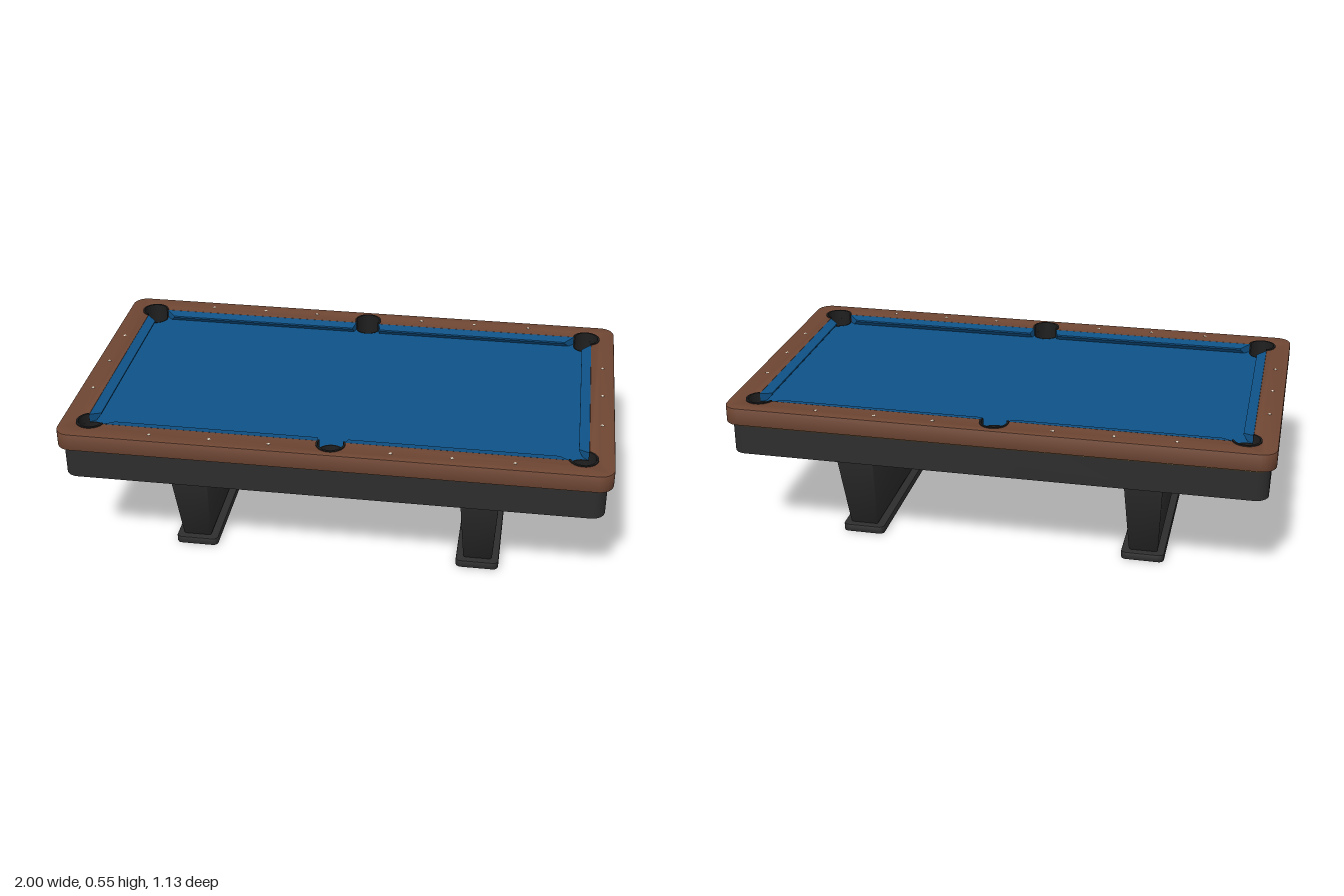
import * as THREE from 'three';
import { RoundedBoxGeometry } from 'three/addons/geometries/RoundedBoxGeometry.js';
import { toCreasedNormals } from 'three/addons/utils/BufferGeometryUtils.js';

const mat = (name, color) => new THREE.MeshStandardMaterial({ name, color });

// Main dimensions
const INX = 0.91, INZ = 0.47;          // inner edge of the rail
const CORNER = [0.89, 0.457], SIDE = [0, 0.49];
const R = 0.05, RIN = 0.046;           // pocket radii
const BED = 0.517;

function roundedRect(hx, hz, r) {
  const s = new THREE.Shape(), q = Math.PI / 2;
  s.absarc(hx - r, hz - r, r, 0, q);
  s.absarc(-hx + r, hz - r, r, q, 2 * q);
  s.absarc(-hx + r, -hz + r, r, 2 * q, 3 * q);
  s.absarc(hx - r, -hz + r, r, 3 * q, 4 * q);
  s.closePath();
  return s;
}

// Extrudes a plan shape upwards from y0 to y1
function slab(shape, y0, y1, bevel = 0) {
  const g = new THREE.ExtrudeGeometry(shape, {
    depth: y1 - y0 - 2 * bevel, curveSegments: 20, bevelEnabled: bevel > 0,
    bevelSize: bevel, bevelThickness: bevel, bevelOffset: -bevel, bevelSegments: 2,
  });
  g.rotateX(-Math.PI / 2).translate(0, y0 + bevel, 0);
  return toCreasedNormals(g, 0.6);
}

// Pocket centres with the arc each one cuts out of the rail, for one half;
// the other half is the same turned by 180 degrees
function pocketArcs() {
  const [cx, cz] = CORNER;
  const dz = Math.sqrt(R * R - (INX - cx) ** 2), dx = Math.sqrt(R * R - (INZ - cz) ** 2);
  const sx = Math.sqrt(R * R - (SIDE[1] - INZ) ** 2), sz = INZ - SIDE[1];
  const half = [
    { x: cx, z: cz, a: Math.atan2(-dz, INX - cx), b: Math.atan2(INZ - cz, -dx) },
    { x: 0, z: SIDE[1], a: Math.atan2(sz, sx), b: Math.atan2(sz, -sx) + 2 * Math.PI },
    { x: -cx, z: cz, a: Math.atan2(INZ - cz, dx), b: Math.atan2(-dz, cx - INX) + 2 * Math.PI },
  ];
  return [...half, ...half.map(p => ({ x: -p.x, z: -p.z, a: p.a + Math.PI, b: p.b + Math.PI }))];
}

function circlePath(x, z, r) {
  const p = new THREE.Path();
  p.absarc(x, z, r, 0, 2 * Math.PI, true);
  return p;
}

// Cushion with an undercut nose and slanted ends
function cushionGeometry(length, cut0, cut1) {
  const depth = 0.036;
  const s = new THREE.Shape([[0, BED - 0.005], [0.016, BED - 0.005], [depth, 0.535], [depth, 0.541], [0, 0.549]]
    .map(p => new THREE.Vector2(...p)));
  const g = new THREE.ExtrudeGeometry(s, { depth: length, bevelEnabled: false });
  const p = g.attributes.position;
  for (let i = 0; i < p.count; i++) {
    const k = p.getX(i) / depth, z = p.getZ(i);
    p.setZ(i, z < length / 2 ? z + cut0 * k : z - cut1 * k);
  }
  g.translate(0, 0, -length / 2);
  g.computeVertexNormals();
  return g;
}

export function createModel() {
  const wood = mat('brown wood', 0x6f4633), black = mat('black body', 0x2d2d2d);
  const cloth = mat('blue cloth', 0x0f5287), gold = mat('gold trim', 0xc8a564);
  const rubber = mat('pocket black', 0x1f1f1f), pearl = mat('pearl sight', 0xe8dfcc);
  const model = new THREE.Group();
  const add = (name, geo, m, x = 0, y = 0, z = 0, parent = model) => {
    const mesh = new THREE.Mesh(geo, m);
    mesh.name = name;
    mesh.position.set(x, y, z);
    parent.add(mesh);
    return mesh;
  };
  const pockets = pocketArcs();

  // Wooden rail with pocket notches
  const rail = roundedRect(1, 0.565, 0.055), opening = new THREE.Path();
  pockets.forEach(p => opening.absarc(p.x, p.z, R, p.a, p.b));
  opening.closePath();
  rail.holes.push(opening);
  add('rail', slab(rail, 0.484, 0.55, 0.003), wood);

  // Trim, apron and cloth bed, all pierced by the six pockets
  const pierced = (hx, hz, r) => {
    const s = roundedRect(hx, hz, r);
    pockets.forEach(p => s.holes.push(circlePath(p.x, p.z, R)));
    return s;
  };
  add('trim', slab(pierced(0.985, 0.554, 0.05), 0.478, 0.484), gold);
  add('apron', slab(pierced(0.98, 0.549, 0.05), 0.365, 0.478), black);
  add('bed', slab(pierced(0.96, 0.546, 0.03), 0.486, BED), cloth);

  // Pocket liners and raised collars
  for (const p of pockets) {
    const ring = new THREE.Shape();
    ring.absarc(p.x, p.z, R, 0, 2 * Math.PI);
    ring.holes.push(circlePath(p.x, p.z, RIN));
    add('pocketLiner', slab(ring, 0.366, BED + 0.001), rubber);
    const collar = new THREE.Shape();
    collar.absarc(p.x, p.z, 0.053, p.a, p.b);
    collar.absarc(p.x, p.z, RIN, p.b, p.a, true);
    collar.closePath();
    add('pocketCollar', slab(collar, 0.5, 0.554), rubber);
  }

  // Cushions: two on each long side, one at each end
  const longLength = 0.795, mid = 0.046 + longLength / 2;
  for (const s of [1, -1]) {
    const end = add('endCushion', cushionGeometry(0.822, 0.03, 0.03), cloth, s * INX);
    end.rotation.y = s > 0 ? Math.PI : 0;
    for (const t of [1, -1]) {
      const cuts = s * t > 0 ? [0.01, 0.035] : [0.035, 0.01];
      const side = add('sideCushion', cushionGeometry(longLength, ...cuts), cloth, t * mid, 0, s * INZ);
      side.rotation.y = s * Math.PI / 2;
    }
  }

  // Diamond sights
  const sight = new THREE.CylinderGeometry(0.007, 0.007, 0.002, 4);
  for (const s of [1, -1]) {
    for (const x of [0.218, 0.435, 0.655]) {
      add('sight', sight, pearl, x, 0.55, s * 0.52);
      add('sight', sight, pearl, -x, 0.55, s * 0.52);
    }
    for (const z of [-0.217, 0, 0.217]) add('sight', sight, pearl, s * 0.955, 0.55, z);
  }

  // Tapered pedestal legs on flat feet
  const legGeo = new RoundedBoxGeometry(0.145, 0.345, 0.96, 3, 0.012);
  const lp = legGeo.attributes.position;
  for (let i = 0; i < lp.count; i++) {
    const k = 0.5 - lp.getY(i) / 0.345;
    lp.setX(i, lp.getX(i) * (1 - 0.26 * k));
    lp.setZ(i, lp.getZ(i) * (1 - 0.2 * k));
  }
  const legNormals = toCreasedNormals(legGeo, 0.7);
  const footGeo = slab(roundedRect(0.08, 0.405, 0.02), 0, 0.03, 0.004);
  for (const s of [1, -1]) {
    add('leg', legNormals, black, s * 0.537, 0.2015, 0);
    add('foot', footGeo, black, s * 0.536, 0, 0);
  }

  // Stretcher between the legs
  add('stretcher', new THREE.BoxGeometry(1, 0.076, 0.07), black, 0, 0.183, 0);

  return model;
}
